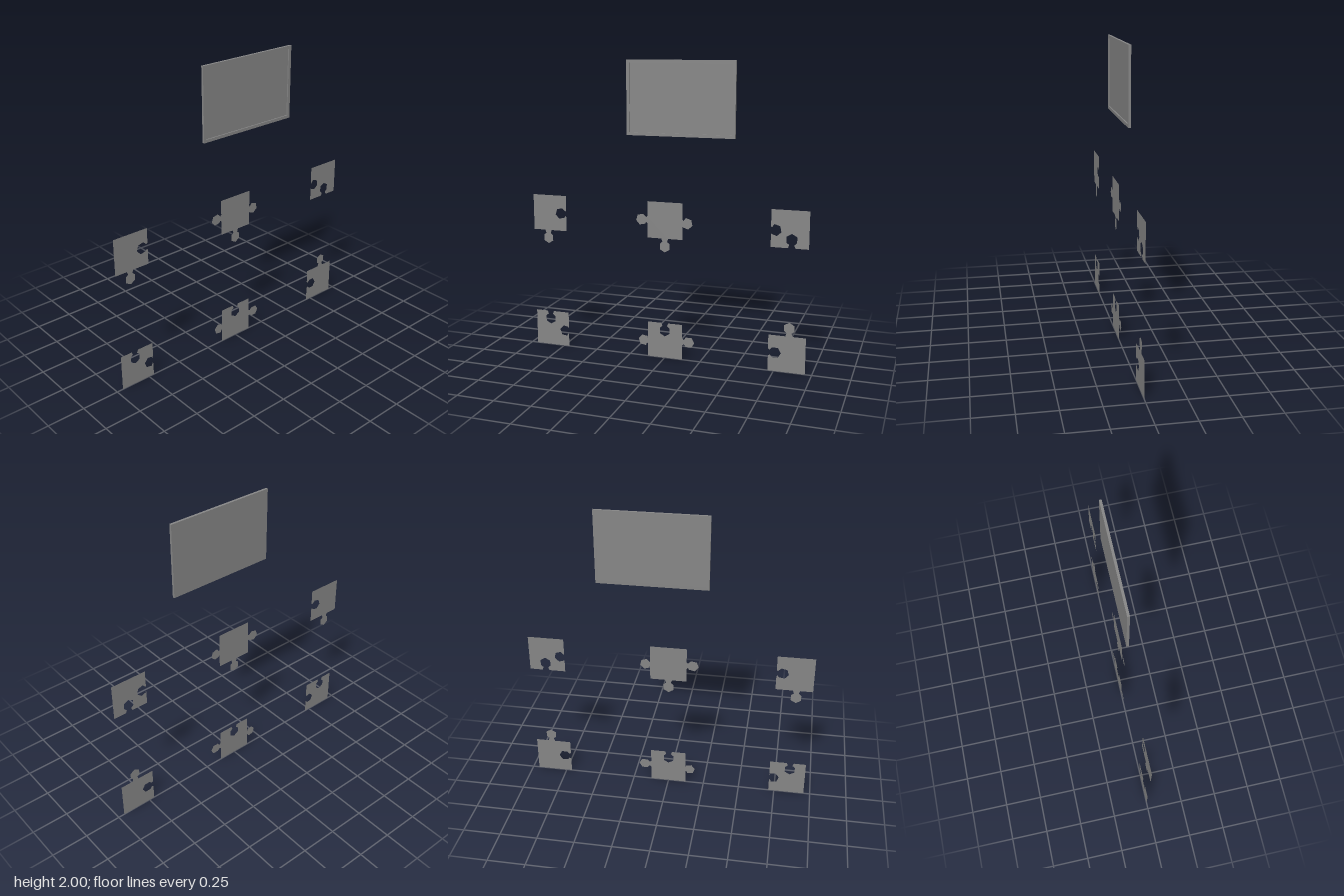
import * as THREE from 'three';

const material = new THREE.MeshStandardMaterial({ color: 0x868686, flatShading: true, side: THREE.DoubleSide });

// Outline of one knob as [u along the edge, v outward], u rising
function knob(depth, turn) {
  const r = 0.039;
  const neck = Math.max(0.005, depth - 0.034);
  const head = [];
  for (let k = 0; k < 6; k++) {
    let a = turn + k * 60;
    if (a > 180) a -= 360;
    if (Math.abs(a) < 145) head.push(a);
  }
  head.sort((a, b) => a - b);
  const rim = head.map((a) => {
    const t = THREE.MathUtils.degToRad(a);
    return [r * Math.sin(t), depth + r * Math.cos(t)];
  });
  return [[-0.024, 0], [-0.016, neck], ...rim, [0.016, neck], [0.024, 0]];
}

// Joints: at = place along the edge, dir = way the knob points on its axis.
// Neighbouring pieces share a joint, as knob on one and socket on the other.
const sideJoints = [
  [{ at: 0.111, dir: -1, depth: 0.028, turn: 10 }, { at: 0.127, dir: 1, depth: 0.046, turn: 0 }],
  [{ at: 0.122, dir: -1, depth: 0.042, turn: -12 }, { at: 0.112, dir: 1, depth: 0.03, turn: -18 }],
];
const rowJoints = [
  { at: 0.107, dir: -1, depth: 0.055, turn: 0 },
  { at: 0.121, dir: -1, depth: 0.055, turn: 0 },
  { at: 0.135, dir: 1, depth: 0.055, turn: 0 },
];

// Points of a joint on an upright or level edge
const onUpright = (j, x) => (j ? knob(j.depth, j.turn).map(([u, v]) => [x + j.dir * v, j.at + u]) : []);
const onLevel = (j, y) => (j ? knob(j.depth, j.turn).map(([u, v]) => [j.at + u, y + j.dir * v]) : []);

// Flat jigsaw piece, traced counter-clockwise from its lower corner
function pieceGeometry(w, h, { bottom, right, top, left }) {
  const outline = [
    [0, 0], ...onLevel(bottom, 0),
    [w, 0], ...onUpright(right, w),
    [w, h], ...onLevel(top, h).reverse(),
    [0, h], ...onUpright(left, 0).reverse(),
  ];
  return new THREE.ShapeGeometry(new THREE.Shape(outline.map(([x, y]) => new THREE.Vector2(x, y))));
}

export function createModel() {
  const model = new THREE.Group();
  model.name = 'jigsawSet';
  const add = (geometry, name, x, y, z) => {
    const mesh = new THREE.Mesh(geometry, material);
    mesh.name = name;
    mesh.position.set(x, y, z);
    model.add(mesh);
  };

  // Six pieces, two rows of three
  const columns = [-0.956, -0.121, 0.711];
  const rows = [0, 0.832];
  const columnNames = ['Right', 'Middle', 'Left'];
  rows.forEach((y, r) => columns.forEach((x, c) => {
    const geometry = pieceGeometry(0.245, 0.246, {
      bottom: r === 1 ? rowJoints[c] : null,
      top: r === 0 ? rowJoints[c] : null,
      left: sideJoints[r][c - 1],
      right: sideJoints[r][c],
    });
    add(geometry, (r ? 'upper' : 'lower') + columnNames[c] + 'Piece', x, y, 0);
  }));

  // Shallow tray: rim with a recessed back panel
  const w = 0.73, h = 0.488, rim = 0.02, depth = 0.016;
  const trayX = -0.26, trayY = 2 - h;
  const rect = (Type, inset) => new Type([
    new THREE.Vector2(inset, inset), new THREE.Vector2(w - inset, inset),
    new THREE.Vector2(w - inset, h - inset), new THREE.Vector2(inset, h - inset),
  ]);
  const rimShape = rect(THREE.Shape, 0);
  rimShape.holes.push(rect(THREE.Path, rim));
  add(new THREE.ExtrudeGeometry(rimShape, { depth, bevelEnabled: false }), 'trayRim', trayX, trayY, -depth / 2);
  add(new THREE.BoxGeometry(w - 2 * rim, h - 2 * rim, depth / 2), 'trayPanel',
    trayX + w / 2, trayY + h / 2, -depth / 4);

  return model;
}
